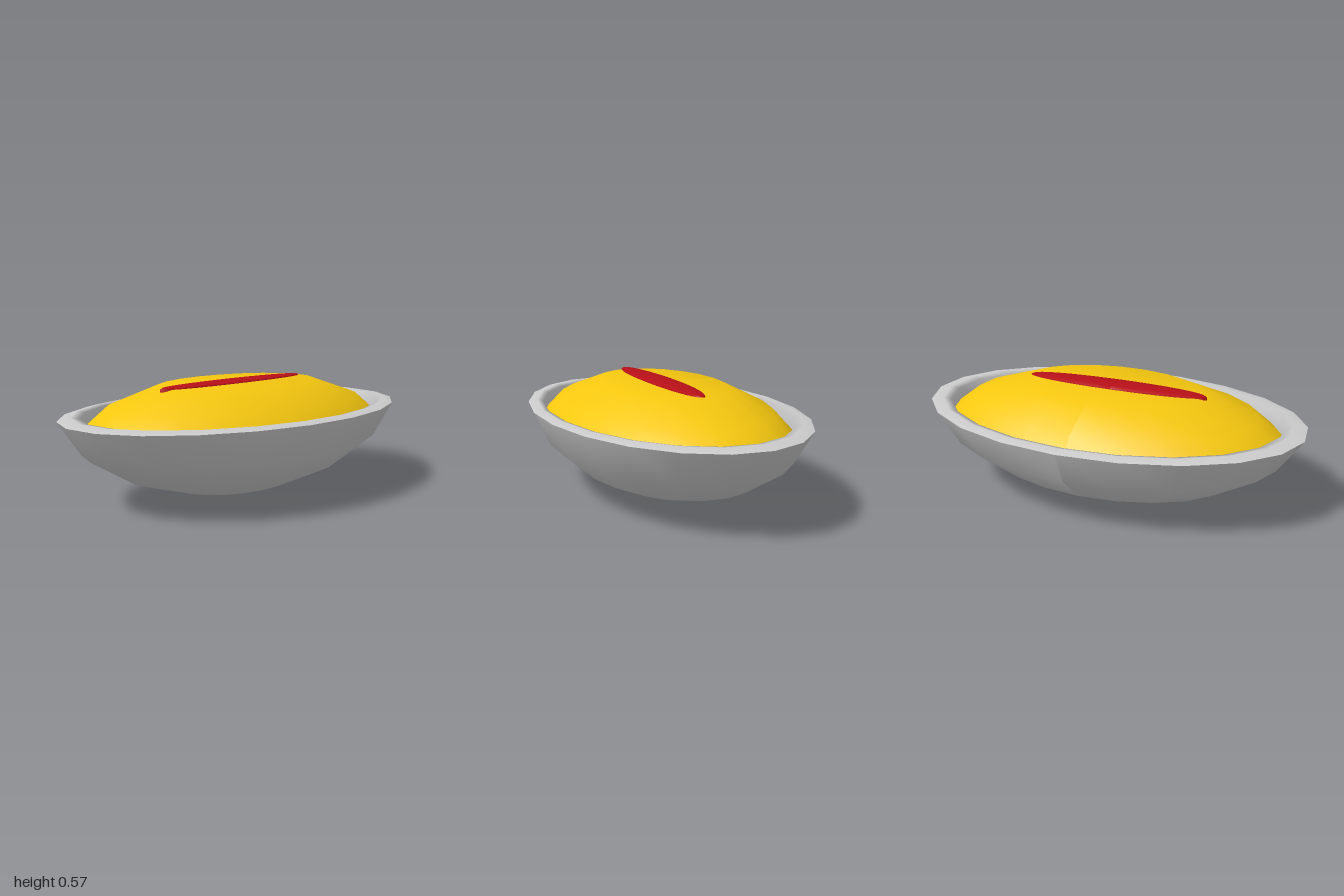
import * as THREE from 'three';

const SEGMENTS = 21;

// Oval dish shape: a turned profile squashed along z, with one corner at the back
function ovalLathe(name, profile, color, depth, segments = SEGMENTS) {
  const points = profile.map(([r, y]) => new THREE.Vector2(r, y));
  const geometry = new THREE.LatheGeometry(points, segments, Math.PI);
  geometry.scale(1, 1, depth);
  geometry.computeVertexNormals();
  const material = new THREE.MeshStandardMaterial({ color, side: THREE.DoubleSide });
  const mesh = new THREE.Mesh(geometry, material);
  mesh.name = name;
  return mesh;
}

export function createModel() {
  const model = new THREE.Group();
  model.name = 'ovalDish';

  // Outer shell, rounded up from a shallow point
  model.add(ovalLathe('bowl', [
    [0, 0], [0.35, 0.035], [0.65, 0.125], [0.88, 0.26], [1, 0.43],
  ], 0xcccccc, 0.64));

  // Thin lip with its inner wall
  model.add(ovalLathe('rim', [
    [1, 0.43], [0.93, 0.443], [0.885, 0.435], [0.88, 0.34],
  ], 0xcccccc, 0.64));

  // Flat-topped filling swelling above the lip
  model.add(ovalLathe('dome', [
    [0.92, 0.335], [0.885, 0.37], [0.755, 0.468], [0.47, 0.56], [0, 0.562],
  ], 0xf5c70f, 0.64));

  // Narrow lens lying along the top
  const slit = ovalLathe('slit', [
    [1, 0.545], [1, 0.56], [0.97, 0.568], [0.65, 0.572], [0, 0.573],
  ], 0xb81018, 0.155, 32);
  slit.scale.set(0.48, 1, 0.48);
  slit.position.x = -0.025;
  model.add(slit);

  return model;
}
